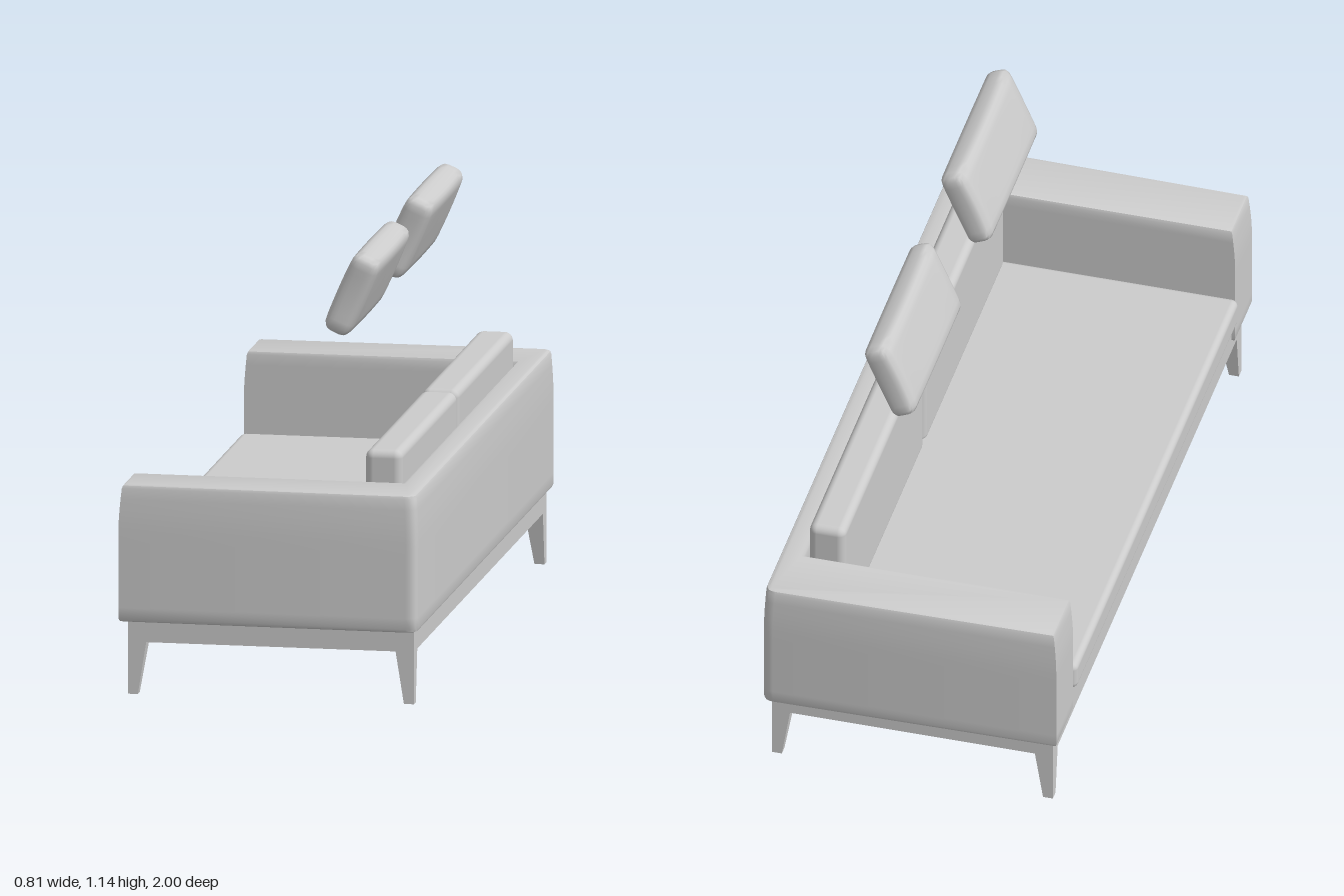
import * as THREE from 'three';
import { RoundedBoxGeometry } from 'three/addons/geometries/RoundedBoxGeometry.js';
import { toCreasedNormals } from 'three/addons/utils/BufferGeometryUtils.js';

const material = new THREE.MeshStandardMaterial({ color: 0xcccccc });

function add(parent, name, geometry, x = 0, y = 0, z = 0) {
  const mesh = new THREE.Mesh(geometry, material);
  mesh.name = name;
  mesh.position.set(x, y, z);
  parent.add(mesh);
  return mesh;
}

// Moves every vertex of a geometry by a rule
function deform(geometry, rule) {
  const p = geometry.attributes.position;
  const v = new THREE.Vector3();
  for (let i = 0; i < p.count; i++) {
    rule(v.fromBufferAttribute(p, i));
    p.setXYZ(i, v.x, v.y, v.z);
  }
  return geometry;
}

// Back and both arms as one U-shaped shell, drawn in at the top
function shellGeometry() {
  const r = 0.03, b = 0.01;
  const s = new THREE.Shape();
  s.moveTo(-0.4, -0.99);
  s.lineTo(0.405 - r, -1);
  s.quadraticCurveTo(0.405, -1, 0.405, -1 + r);
  s.lineTo(0.405, 1 - r);
  s.quadraticCurveTo(0.405, 1, 0.405 - r, 1);
  s.lineTo(-0.4, 0.99);
  s.lineTo(-0.4, 0.82);
  s.lineTo(0.335, 0.82);
  s.lineTo(0.335, -0.82);
  s.lineTo(-0.4, -0.82);
  s.closePath();
  const g = new THREE.ExtrudeGeometry(s, {
    depth: 0.37 - 2 * b, steps: 12, curveSegments: 5,
    bevelThickness: b, bevelSize: b, bevelOffset: -b, bevelSegments: 2,
  });
  g.rotateX(-Math.PI / 2).translate(0, 0.2 + b, 0);
  deform(g, (v) => {
    const f = THREE.MathUtils.clamp((v.y - 0.45) / 0.11, 0, 1) ** 1.5;
    if (v.x < -0.35) v.x += 0.008 * f;
    if (v.x > 0.36) v.x -= 0.005 * f;
    if (Math.abs(v.z) > 0.93) v.z -= Math.sign(v.z) * 0.006 * f;
  });
  return toCreasedNormals(g, 0.6);
}

// Loose cushion, thinner at the rim and with slightly hollow sides
function pillowGeometry(t, h, w) {
  const g = new RoundedBoxGeometry(t, h, w, 4, 0.026);
  // Spread the flat areas over the grid so the sides can curve
  const box = new THREE.BoxGeometry(t, h, w, 6, 12, 20);
  g.dispose();
  const inner = new THREE.Vector3(t / 2 - 0.026, h / 2 - 0.026, w / 2 - 0.026);
  const core = new THREE.Vector3();
  deform(box, (v) => {
    const a = (2 * v.y) / h, c = (2 * v.z) / w;
    core.copy(v).clamp(inner.clone().negate(), inner);
    v.sub(core);
    if (v.lengthSq() > 0) v.setLength(0.026);
    v.add(core);
    v.x *= 1 - 0.12 * a * a * c * c;
    v.y *= 0.97 + 0.03 * c * c;
    v.z *= 0.98 + 0.02 * a * a;
  });
  box.deleteAttribute('uv');
  return toCreasedNormals(box, 0.9);
}

// Leg tapering toward its outer corner
function legGeometry(sx, sz) {
  const g = new THREE.BoxGeometry(0.05, 0.145, 0.05);
  return toCreasedNormals(deform(g, (v) => {
    if (v.y > 0) return;
    if (v.x * sx < 0) v.x += sx * 0.023;
    if (v.z * sz < 0) v.z += sz * 0.023;
  }), 0.3);
}

export function createModel() {
  const sofa = new THREE.Group();
  sofa.name = 'sofa';

  // Base frame and legs
  add(sofa, 'baseFrame', new THREE.BoxGeometry(0.77, 0.06, 1.91), 0.004, 0.171, 0);
  for (const sx of [-1, 1]) {
    for (const sz of [-1, 1]) {
      add(sofa, 'leg', legGeometry(sx, sz), 0.004 + sx * 0.36, 0.0725, sz * 0.93);
    }
  }

  // Upholstered body
  add(sofa, 'backAndArms', shellGeometry());
  add(sofa, 'seatPlatform', new THREE.BoxGeometry(0.73, 0.08, 1.64), -0.025, 0.235, 0);
  add(sofa, 'seatCushion', new RoundedBoxGeometry(0.745, 0.08, 1.645, 4, 0.018), -0.0375, 0.308, 0);

  // Back cushions
  for (const z of [-0.4, 0.415]) {
    add(sofa, 'backCushion', new RoundedBoxGeometry(0.1, 0.32, 0.805, 4, 0.022), 0.281, 0.494, z);
  }

  // Tilted loose cushions above the seat
  for (const z of [-0.378, 0.396]) {
    const pillow = add(sofa, 'looseCushion', pillowGeometry(0.08, 0.226, 0.5), 0.159, 1.03, z);
    pillow.rotation.z = -0.41;
  }
  return sofa;
}
